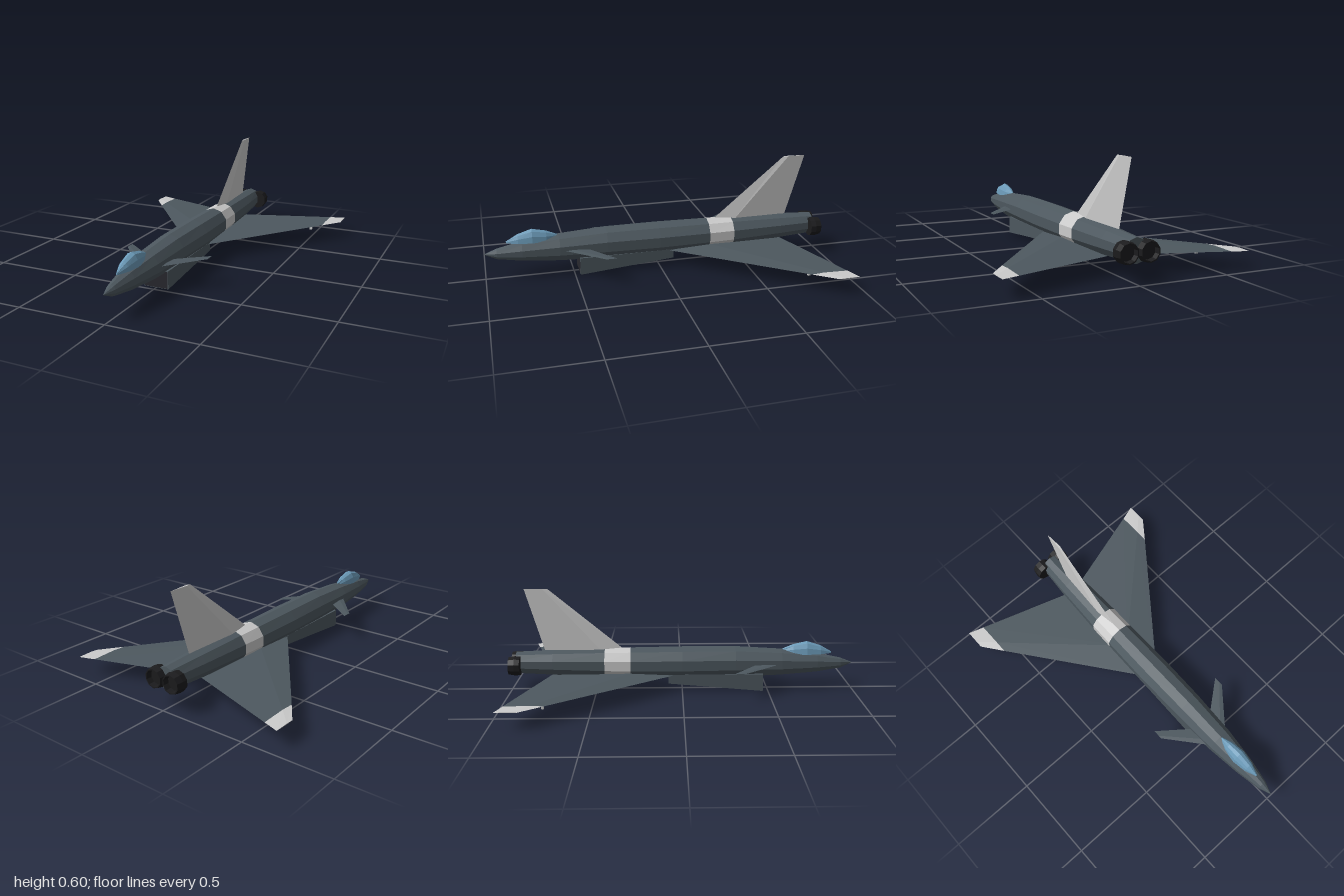
import * as THREE from 'three';

const mat = (color) => new THREE.MeshStandardMaterial({ color, flatShading: true });
const hull = mat(0x4d585f), grey = mat(0xcccccc), black = mat(0x1b1b1d);
const dark = mat(0x28282e), glass = mat(0x6b9ab8);

// Skin a list of rings (arrays of [x, y, z]) and close both ends
function loft(rings, flip = false) {
  const out = [];
  const tri = (a, b, c) => out.push(...a, ...(flip ? c : b), ...(flip ? b : c));
  const n = rings[0].length;
  const centre = (r) => [0, 1, 2].map((k) => r.reduce((s, p) => s + p[k], 0) / n);
  const first = rings[0], last = rings[rings.length - 1];
  const c0 = centre(first), c1 = centre(last);
  for (let i = 0; i < n; i++) {
    const j = (i + 1) % n;
    for (let s = 0; s + 1 < rings.length; s++) {
      const a = rings[s], b = rings[s + 1];
      tri(a[i], a[j], b[i]);
      tri(a[j], b[j], b[i]);
    }
    tri(c0, first[j], first[i]);
    tri(c1, last[i], last[j]);
  }
  const g = new THREE.BufferGeometry();
  g.setAttribute('position', new THREE.Float32BufferAttribute(out, 3));
  g.computeVertexNormals();
  return g;
}

// Oval ring across z; the first point is on top
function oval([z, bottom, top, halfWidth], sides = 10) {
  return Array.from({ length: sides }, (_, i) => {
    const a = (i / sides) * Math.PI * 2;
    return [Math.sin(a) * halfWidth, (top + bottom) / 2 + Math.cos(a) * (top - bottom) / 2, z];
  });
}

// Diamond wing section at x, with its ridge at 35% chord
function wingRing([x, lead, trail, t], y, side) {
  const m = lead + (trail - lead) * 0.35;
  return [[side * x, y, lead], [side * x, y - t, m], [side * x, y, trail], [side * x, y + t, m]];
}

export function createModel() {
  const model = new THREE.Group();
  const add = (name, geometry, material, x = 0, y = 0, z = 0) => {
    const mesh = new THREE.Mesh(geometry, material);
    mesh.name = name;
    mesh.position.set(x, y, z);
    model.add(mesh);
    return mesh;
  };

  // Fuselage in three lengths: z, bottom, top, half width
  const bandFront = [-0.3, 0.067, 0.252, 0.09], bandBack = [-0.45, 0.072, 0.25, 0.088];
  const body = (list) => loft(list.map((s) => oval(s)));
  add('frontFuselage', body([
    [1, 0.154, 0.156, 0.001], [0.93, 0.121, 0.184, 0.028], [0.79, 0.098, 0.214, 0.054],
    [0.58, 0.08, 0.24, 0.078], [0.31, 0.069, 0.257, 0.09], [0, 0.064, 0.257, 0.095], bandFront,
  ]), hull);
  add('fuselageBand', body([bandFront, bandBack]), grey);
  add('rearFuselage', body([bandBack, [-0.75, 0.088, 0.24, 0.076], [-0.965, 0.1, 0.23, 0.06]]), hull);

  // Canopy: upper half of an oval at each station
  const canopy = [[0.875, 0.222, 0.004], [0.81, 0.26, 0.03], [0.73, 0.285, 0.042],
    [0.65, 0.267, 0.032], [0.58, 0.237, 0.006]];
  add('canopy', loft(canopy.map(([z, top, w]) => {
    const base = 0.212;
    return Array.from({ length: 7 }, (_, i) => {
      const a = (i / 6 - 0.5) * Math.PI;
      return [Math.sin(a) * w, base + Math.cos(a) * (top - base), z];
    });
  })), glass);

  // Air intake under the body, with a dark mouth
  const box = (z, bottom, top, w) => [[-w, top, z], [w, top, z], [w, bottom, z], [-w, bottom, z]];
  add('airIntake', loft([box(0.47, 0.003, 0.105, 0.072), box(-0.08, 0.052, 0.105, 0.072)]), hull);
  add('intakeMouth', new THREE.PlaneGeometry(0.138, 0.095), dark, 0, 0.053, 0.471);

  // Parts mirrored left and right
  for (const [side, label] of [[1, 'left'], [-1, 'right']]) {
    const panel = (list, y) => loft(list.map((s) => wingRing(s, y, side)), side < 0);
    const tipRoot = [0.58, -0.72, -0.931, 0.004];
    add(label + 'Wing', panel([[0, 0.04, -0.745, 0.016], tipRoot], 0.1), hull);
    add(label + 'WingTip', panel([tipRoot, [0.67, -0.84, -0.96, 0.002]], 0.1), grey);
    add(label + 'Canard', panel([[0.03, 0.602, 0.457, 0.005], [0.245, 0.345, 0.287, 0.002]], 0.16), hull);
    add(label + 'WingPylon', new THREE.BoxGeometry(0.015, 0.042, 0.012), grey, side * 0.503, 0.08, -0.74);

    // Engine nozzle, open at the back with a recessed end
    const profile = [[0, -0.035], [0.042, -0.035], [0.046, -0.065], [0.052, -0.065], [0.058, -0.03], [0.056, 0], [0, 0]];
    const nozzle = new THREE.LatheGeometry(profile.map(([r, h]) => new THREE.Vector2(r, h)), 10);
    nozzle.rotateX(Math.PI / 2);
    add(label + 'Nozzle', nozzle, black, side * 0.058, 0.161, -0.935).material.side = THREE.DoubleSide;
  }

  // Tail fin: y, leading z, ridge z, trailing z, half thickness
  const fin = [[0.22, -0.314, -0.455, -0.794, 0.018], [0.6, -0.77, -0.8, -0.905, 0.006]];
  add('tailFin', loft(fin.map(([y, lead, ridge, trail, t]) =>
    [[0, y, lead], [t, y, ridge], [0, y, trail], [-t, y, ridge]])), grey);

  return model;
}
